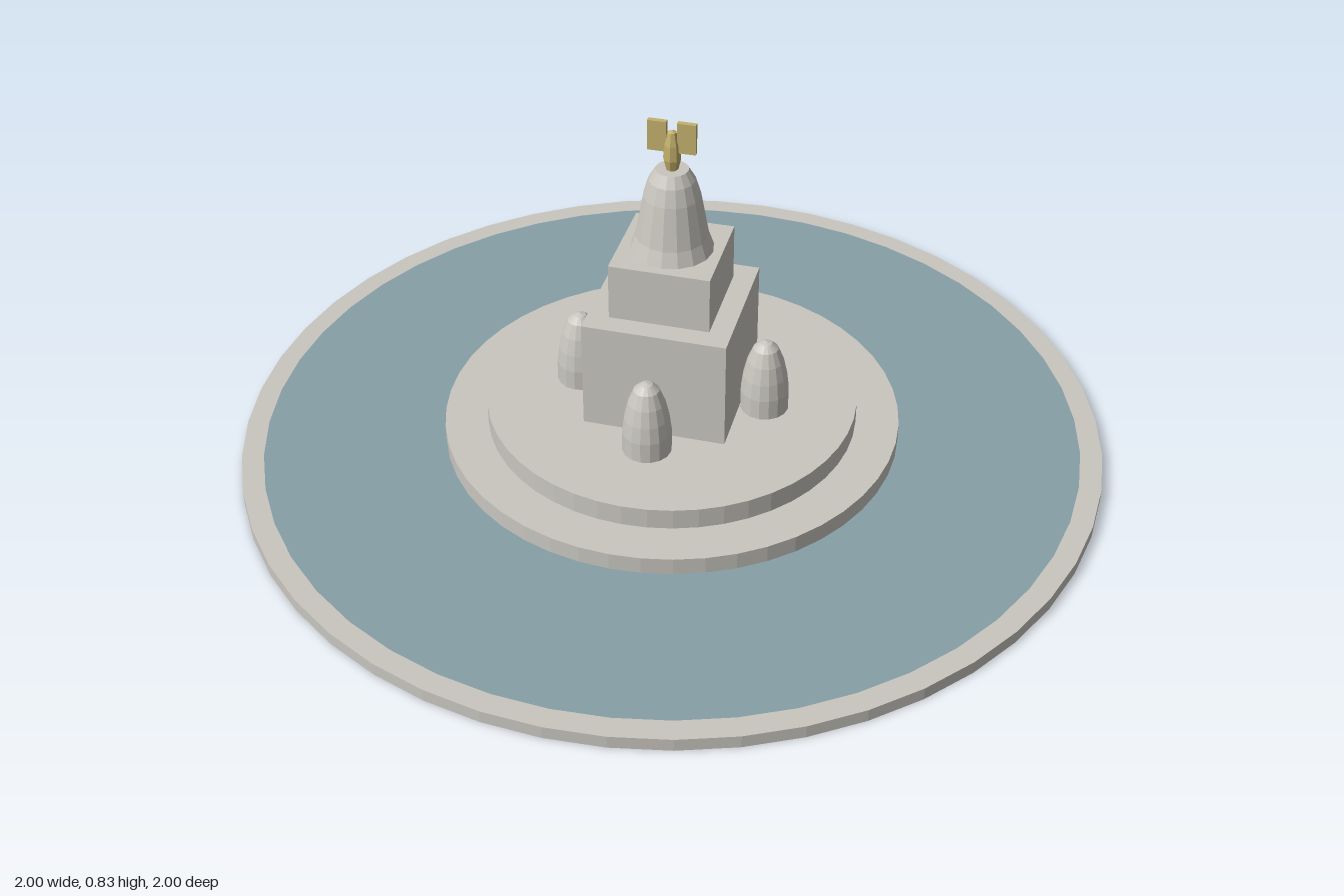
import * as THREE from 'three';

export function createModel() {
  const model = new THREE.Group();
  const mat = (name, color) => {
    const m = new THREE.MeshStandardMaterial({ color, flatShading: true, side: THREE.DoubleSide });
    m.name = name;
    return m;
  };
  const stone = mat('pale stone', 0xc9c6bf);
  const water = mat('pool water', 0x869fa7);
  const gold = mat('gilded metal', 0xc4b06c);

  const add = (name, geometry, material, x = 0, y = 0, z = 0) => {
    const mesh = new THREE.Mesh(geometry, material);
    mesh.name = name;
    mesh.position.set(x, y, z);
    model.add(mesh);
    return mesh;
  };
  const lathe = (points, sides) =>
    new THREE.LatheGeometry(points.map(([r, y]) => new THREE.Vector2(r, y)), sides);

  // Pool: outer rim, water surface with its skirt, and the floor seen from below
  add('poolRim', lathe([[1, 0], [1, 0.03], [0.95, 0.03]], 48), stone);
  add('poolWater', lathe([[0.95, 0.012], [0.95, 0.029], [0.5, 0.029]], 48), water);
  add('poolFloor', new THREE.CircleGeometry(0.949, 48).rotateX(Math.PI / 2), stone, 0, 0.026, 0);

  // Two round steps
  add('roundSteps', lathe([[0.53, 0], [0.53, 0.07], [0.43, 0.07], [0.43, 0.12], [0, 0.12]], 48), stone);

  // Square pedestal blocks
  add('lowerBlock', new THREE.BoxGeometry(0.33, 0.265, 0.33), stone, 0, 0.2525, 0);
  add('upperBlock', new THREE.BoxGeometry(0.23, 0.135, 0.23), stone, 0, 0.4525, 0);

  // Flared bell on top of the blocks
  add('bell', lathe([[0.094, 0.52], [0.082, 0.555], [0.073, 0.605], [0.064, 0.655],
    [0.052, 0.695], [0.037, 0.72], [0, 0.72]], 16), stone);

  // Four bullet-shaped bollards, one per side
  const bollard = lathe([[0.056, 0], [0.056, 0.05], [0.051, 0.09], [0.042, 0.13],
    [0.029, 0.163], [0.014, 0.177], [0, 0.181]], 16);
  for (let i = 0; i < 4; i++) {
    const a = i * Math.PI / 2;
    add('bollard', bollard, stone, 0.22 * Math.cos(a), 0.12, 0.22 * Math.sin(a));
  }

  // Gilded finial with a pair of flat wings
  add('finialPost', lathe([[0.014, 0.72], [0.02, 0.745], [0.018, 0.78], [0.01, 0.81], [0, 0.815]], 8), gold);
  for (const side of [-1, 1]) {
    add('finialWing', new THREE.BoxGeometry(0.042, 0.072, 0.012), gold, side * 0.033, 0.799, 0);
  }
  return model;
}
